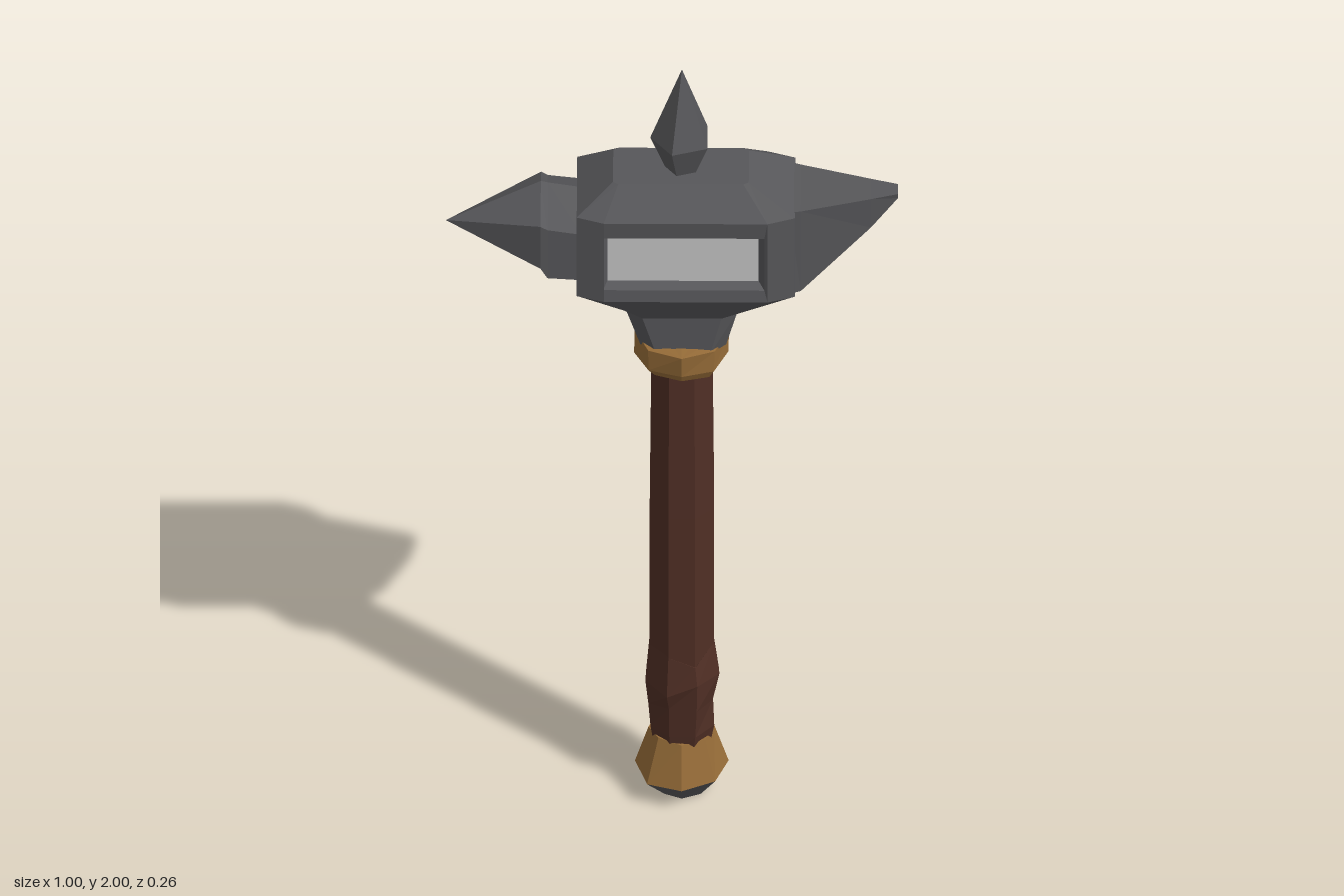
import * as THREE from 'three';

const material = (name, color) => {
  const m = new THREE.MeshStandardMaterial({ color, flatShading: true });
  m.name = name;
  return m;
};

// Joins rings of equal length into a faceted skin; rings run counter-clockwise around the direction of travel
function loft(name, mat, rings, capped = true) {
  const pos = [], n = rings[0].length;
  const tri = (a, b, c) => {
    const area = new THREE.Triangle(new THREE.Vector3(...a), new THREE.Vector3(...b), new THREE.Vector3(...c)).getArea();
    if (area > 1e-7) pos.push(...a, ...b, ...c);
  };
  for (let i = 0; i < rings.length - 1; i++) {
    for (let j = 0; j < n; j++) {
      const k = (j + 1) % n, p = rings[i], q = rings[i + 1];
      tri(p[j], p[k], q[k]);
      tri(p[j], q[k], q[j]);
    }
  }
  if (capped) {
    const s = rings[0], e = rings[rings.length - 1];
    for (let j = 1; j < n - 1; j++) {
      tri(s[0], s[j + 1], s[j]);
      tri(e[0], e[j], e[j + 1]);
    }
  }
  const geo = new THREE.BufferGeometry();
  geo.setAttribute('position', new THREE.Float32BufferAttribute(pos, 3));
  geo.computeVertexNormals();
  const mesh = new THREE.Mesh(geo, mat);
  mesh.name = name;
  return mesh;
}

// Seeded wobble for hand-carved edges
let seed = 7;
const wobble = (amount) => {
  seed = (seed * 16807) % 2147483647;
  return (seed / 2147483647 - 0.5) * 2 * amount;
};

const AXIS = 0.022;

// Horizontal polygon around the shaft axis
function ring(y, r, n, phase = 0, rough = 0, roughY = 0) {
  return Array.from({ length: n }, (_, i) => {
    const a = phase + (i / n) * Math.PI * 2, rr = r + wobble(rough);
    return [AXIS + Math.sin(a) * rr, y + wobble(roughY), Math.cos(a) * rr];
  });
}

// Horizontal rectangle with cut corners
const plan = (y, x0, x1, z, cx, cz) => [
  [x0 + cx, y, z], [x1 - cx, y, z], [x1, y, z - cz], [x1, y, -z + cz],
  [x1 - cx, y, -z], [x0 + cx, y, -z], [x0, y, -z + cz], [x0, y, z - cz],
];

// Upright rectangle at depth z
const rect = (x0, x1, y0, y1, z) => [[x0, y0, z], [x1, y0, z], [x1, y1, z], [x0, y1, z]];

export function createModel() {
  const model = new THREE.Group();
  model.name = 'warHammer';
  const steel = material('dark steel', 0x57575a);
  const silver = material('pale inlay', 0xc6c6c6);
  const wood = material('dark wood', 0x502f25);
  const brass = material('aged brass', 0x966c38);

  // Shaft with a dented lower grip
  const turn = Math.PI / 8;
  model.add(loft('shaft', wood, [
    ring(0.34, 0.077, 8, turn), ring(0.8, 0.077, 8, turn), ring(1.22, 0.073, 8, turn),
  ]));
  model.add(loft('grip', wood, [
    ring(0.13, 0.066, 8, turn), ring(0.19, 0.074, 8, turn, 0.005, 0.01),
    ring(0.25, 0.081, 8, turn, 0.009, 0.02), ring(0.32, 0.083, 8, turn, 0.009, 0.025),
    ring(0.4, 0.077, 8, turn, 0.002, 0.03),
  ]));

  // Pommel: steel foot and brass cup
  const rim = ring(0.068, 0.106, 8, 0, 0.003, 0.006);
  model.add(loft('pommelFoot', steel, [ring(0.005, 0.055, 8, 0, 0.004, 0.005), rim]));
  model.add(loft('pommelCup', brass, [rim, ring(0.172, 0.073, 8, 0, 0.003, 0.01)]));

  // Brass collar below the head
  model.add(loft('collar', brass, [
    ring(1.192, 0.086, 8, 0, 0.004, 0.006), ring(1.215, 0.102, 8, 0, 0.004, 0.006),
    ring(1.272, 0.107, 8, 0, 0.004, 0.004),
  ]));

  // Head: flared neck, framed middle, sloped crown
  const head = new THREE.Group();
  head.name = 'head';
  model.add(head);
  head.add(loft('neck', steel, [
    plan(1.26, -0.07, 0.12, 0.07, 0.035, 0.035), plan(1.36, -0.1, 0.145, 0.072, 0.035, 0.025),
    plan(1.45, -0.21, 0.272, 0.13, 0.06, 0.022),
  ]));
  head.add(loft('crown', steel, [
    plan(1.67, -0.21, 0.272, 0.132, 0.06, 0.022), plan(1.73, -0.13, 0.17, 0.066, 0.012, 0.008),
  ]));
  const side = [
    rect(-0.14, 0.19, 1.492, 1.612, 0.1), rect(-0.152, 0.205, 1.48, 1.625, 0.126),
    rect(-0.15, 0.212, 1.45, 1.67, 0.13), rect(-0.21, 0.272, 1.45, 1.67, 0.109),
  ];
  const back = side.map((r) => r.map(([x, y, z]) => [x, y, -z]));
  head.add(loft('windowFrame', steel, [...back, ...side.slice().reverse()], false));

  // Pale inlays set into both faces
  for (const s of [1, -1]) {
    const inlay = new THREE.Mesh(new THREE.BoxGeometry(0.335, 0.125, 0.008), silver);
    inlay.name = s > 0 ? 'frontInlay' : 'backInlay';
    inlay.position.set(0.025, 1.552, s * 0.1);
    head.add(inlay);
  }

  // Pointed pick on the right: six-sided block drawn to a tip
  const hex = (x, top, bottom, w) => {
    const h = top - bottom;
    return [
      [x, top, -0.02 * (w > 0)], [x, top - h * 0.2, w], [x, bottom + h * 0.15, w],
      [x, bottom, 0], [x, bottom + h * 0.15, -w], [x, top - h * 0.2, -w],
    ];
  };
  head.add(loft('pick', steel, [
    hex(-0.5, 1.577, 1.577, 0), hex(-0.29, 1.672, 1.492, 0.1),
    hex(-0.275, 1.668, 1.462, 0.1), hex(-0.2, 1.655, 1.46, 0.102),
  ]));

  // Beak on the left: flat on top, curving up to a narrow edge
  const beak = (x, y0, y1, wTop, wLow) => [[x, y1, -wTop], [x, y1, wTop], [x, y0, wLow], [x, y0, -wLow]];
  head.add(loft('beak', steel, [
    beak(0.26, 1.44, 1.672, 0.092, 0.085), beak(0.285, 1.44, 1.67, 0.085, 0.075),
    beak(0.44, 1.582, 1.668, 0.037, 0.028), beak(0.5, 1.654, 1.668, 0.018, 0.014),
  ]));

  // Five-sided finial spike
  const tip = -Math.PI / 2;
  model.add(loft('finial', steel, [
    ring(1.72, 0.034, 5, tip), ring(1.81, 0.07, 5, tip), ring(2, 0, 5, tip),
  ]));

  return model;
}
